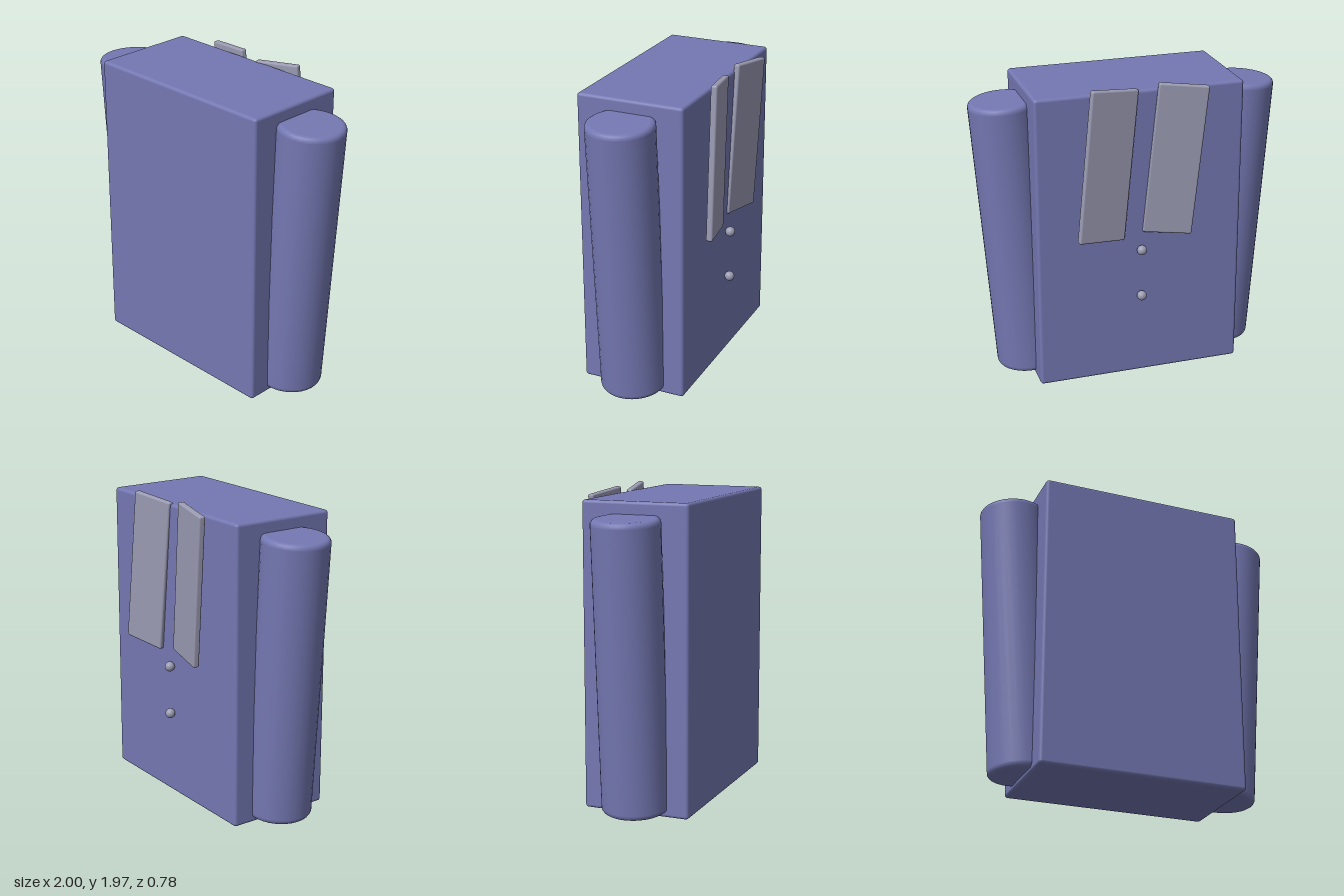
import * as THREE from 'three';
import { RoundedBoxGeometry } from 'three/addons/geometries/RoundedBoxGeometry.js';

const cloth = new THREE.MeshStandardMaterial({ color: 0x7478b2 });
const trim = new THREE.MeshStandardMaterial({ color: 0x9a9ab2 });

function addMesh(parent, name, geometry, material, x, y, z) {
  const mesh = new THREE.Mesh(geometry, material);
  mesh.name = name;
  mesh.position.set(x, y, z);
  parent.add(mesh);
  return mesh;
}

// Closed cylinder with rounded rims, centred on its own origin
function roundedCylinder(radius, height, bevel, sides) {
  const h = height / 2;
  const profile = [new THREE.Vector2(0, -h), new THREE.Vector2(radius - bevel - 0.005, -h)];
  for (const end of [-1, 1]) {
    for (let i = 0; i <= 4; i++) {
      const a = (end < 0 ? i - 4 : i) * Math.PI / 8;
      profile.push(new THREE.Vector2(
        radius - bevel + bevel * Math.cos(a),
        end * (h - bevel) + bevel * Math.sin(a)));
    }
    // Support loops keep the straight wall shading even
    if (end < 0) profile.push(new THREE.Vector2(radius, -h + bevel + 0.005), new THREE.Vector2(radius, h - bevel - 0.005));
  }
  profile.push(new THREE.Vector2(radius - bevel - 0.005, h), new THREE.Vector2(0, h));
  return new THREE.LatheGeometry(profile, sides);
}

export function createModel() {
  const model = new THREE.Group();
  model.name = 'jacket';

  // Body block
  addMesh(model, 'torso', new RoundedBoxGeometry(1.34, 1.93, 0.695, 3, 0.02), cloth, 0, 0.965, 0.0375);

  // Sleeves spread outwards at the top
  const sleeveGeometry = roundedCylinder(0.21, 1.82, 0.03, 32);
  for (const side of [-1, 1]) {
    const sleeve = addMesh(model, side > 0 ? 'leftSleeve' : 'rightSleeve',
      sleeveGeometry, cloth, side * 0.728, 0.935, 0.035);
    sleeve.rotation.z = -side * 0.07;
  }

  // Lapels: angled away from the body, both leaning the same way
  const lapelGeometry = new RoundedBoxGeometry(0.315, 0.98, 0.042, 2, 0.012);
  for (const side of [-1, 1]) {
    const lapel = addMesh(model, side > 0 ? 'leftLapel' : 'rightLapel',
      lapelGeometry, trim, side > 0 ? 0.222 : -0.215, 1.467, -0.338);
    lapel.rotation.set(0, side * 0.175, 0.1);
  }

  // Buttons
  const buttonGeometry = new THREE.SphereGeometry(0.032, 20, 14);
  [0.88, 0.56].forEach((y, i) => addMesh(model, `button${i + 1}`, buttonGeometry, trim, 0, y, -0.34));

  return model;
}
